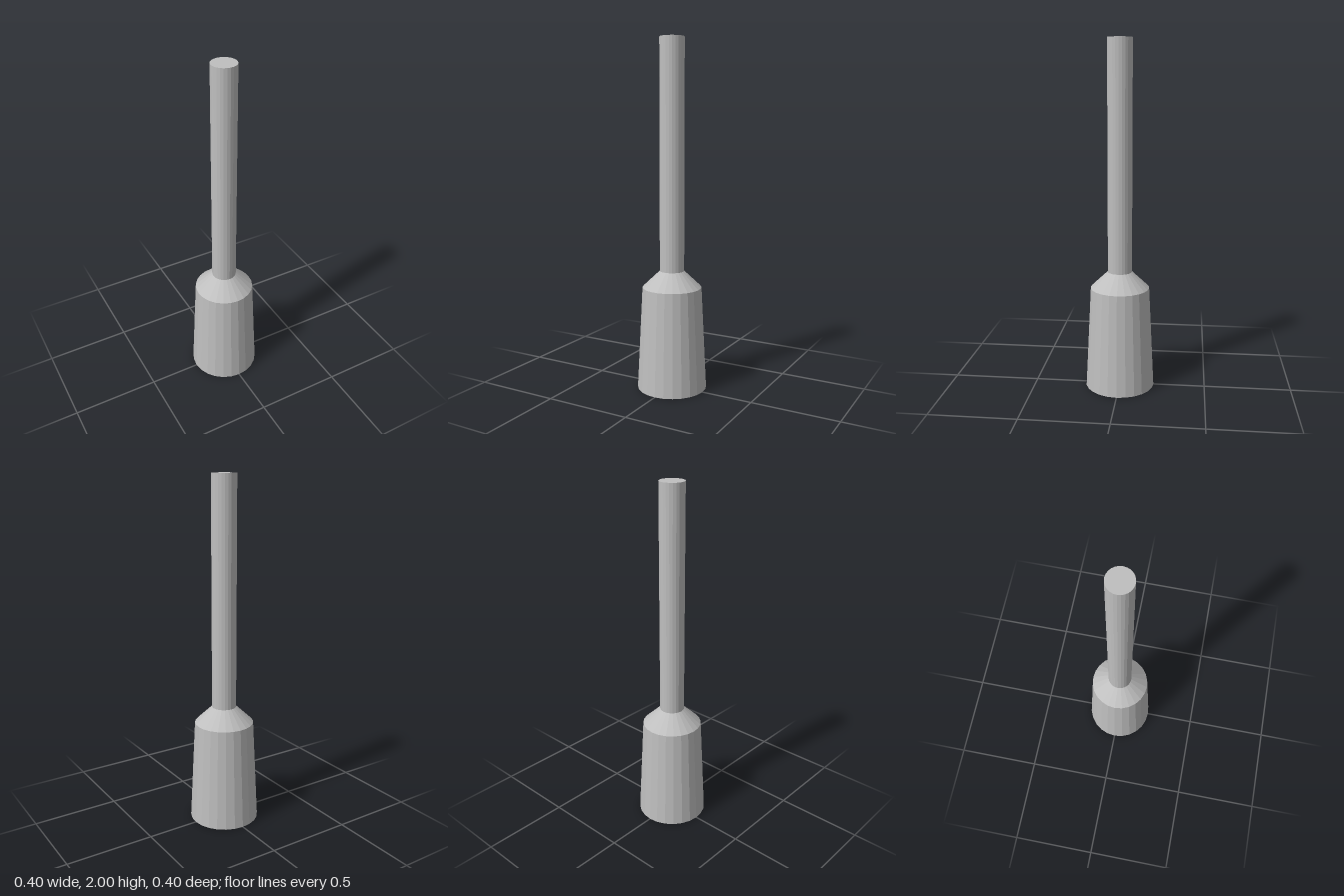
import * as THREE from 'three';

const SIDES = 24;

export function createModel() {
  const group = new THREE.Group();
  const steel = new THREE.MeshStandardMaterial({ color: 0xbfbfbf, flatShading: true });
  steel.name = 'steel grey';

  const add = (name, geometry, parent = group) => {
    const mesh = new THREE.Mesh(geometry, steel);
    mesh.name = name;
    parent.add(mesh);
    return mesh;
  };

  // Round sections stacked from the floor up; the shaft alone is capped
  const section = (name, rBottom, rTop, y0, y1, open) => {
    const geometry = new THREE.CylinderGeometry(rTop, rBottom, y1 - y0, SIDES, 1, open);
    add(name, geometry).position.y = (y0 + y1) / 2;
  };
  section('socketBody', 0.2, 0.17, 0, 0.595, true);
  section('shoulder', 0.17, 0.07, 0.595, 0.69, true);
  section('shaft', 0.07, 0.07, 0.69, 2, false);

  // Underside with a rectangular opening
  const w = 0.19, d = 0.25, depth = 0.4;
  const rim = new THREE.Shape();
  for (let i = 0; i < SIDES; i++) {
    const a = (i / SIDES) * Math.PI * 2;
    rim[i ? 'lineTo' : 'moveTo'](0.2 * Math.cos(a), 0.2 * Math.sin(a));
  }
  rim.closePath();
  rim.holes.push(new THREE.Path([
    [-w / 2, -d / 2], [-w / 2, d / 2], [w / 2, d / 2], [w / 2, -d / 2],
  ].map(([x, y]) => new THREE.Vector2(x, y))));
  add('socketRim', new THREE.ShapeGeometry(rim).rotateX(Math.PI / 2));

  // Recess walls face inward, its roof faces down
  const recess = new THREE.Group();
  recess.name = 'driveRecess';
  group.add(recess);
  for (let i = 0; i < 4; i++) {
    const width = i % 2 ? d : w;
    const offset = (i % 2 ? w : d) / 2;
    const wall = new THREE.PlaneGeometry(width, depth)
      .translate(0, depth / 2, -offset)
      .rotateY((i * Math.PI) / 2);
    add('recessWall', wall, recess);
  }
  add('recessRoof', new THREE.PlaneGeometry(w, d).rotateX(Math.PI / 2).translate(0, depth, 0), recess);

  return group;
}
